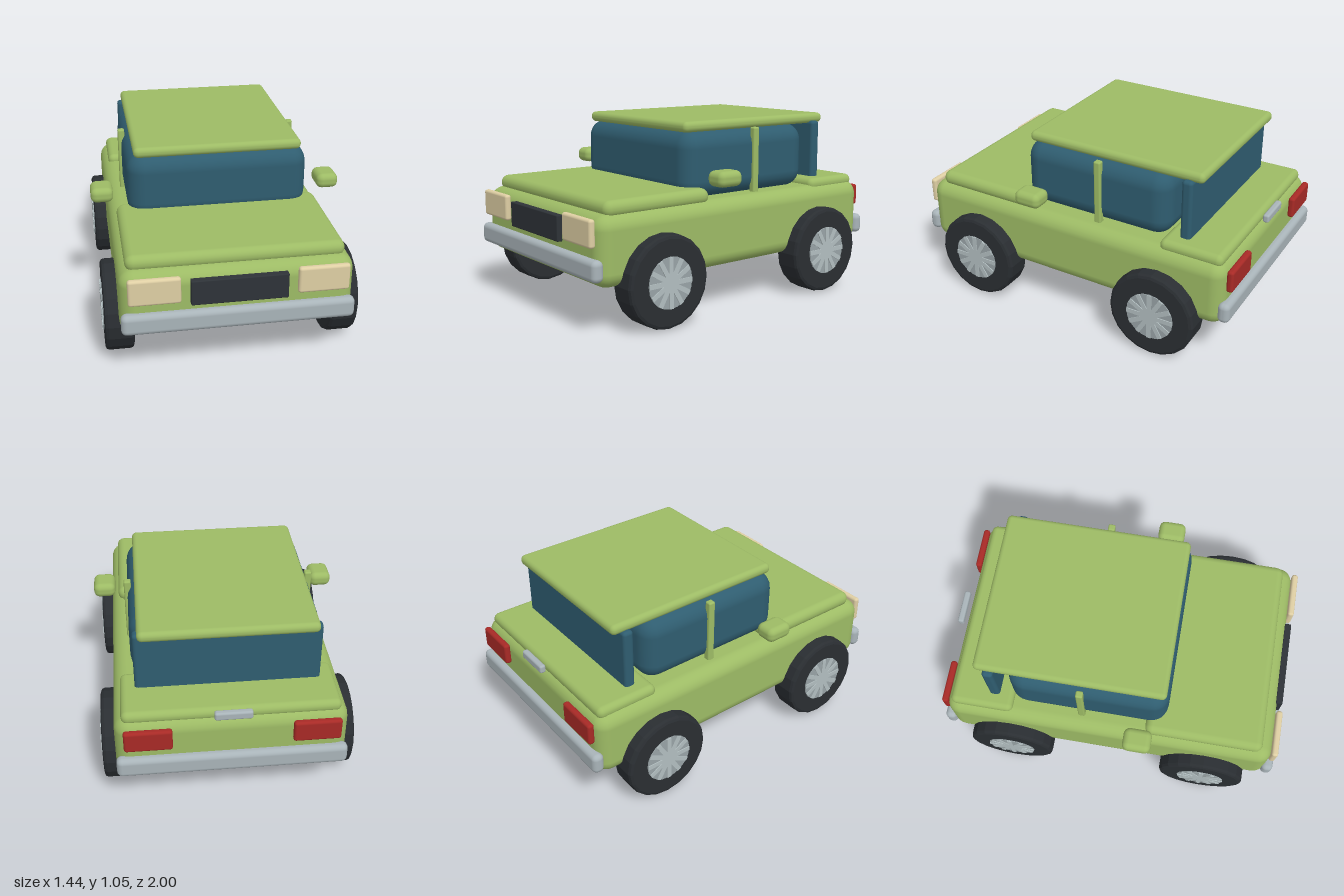
import * as THREE from 'three';
import { RoundedBoxGeometry } from 'three/addons/geometries/RoundedBoxGeometry.js';

const paint = (color, flatShading = false) => new THREE.MeshStandardMaterial({ color, flatShading });
const GREEN = paint(0x9dbb65), GLASS = paint(0x2f5d70), CHROME = paint(0xa9b4b9);
const CREAM = paint(0xdfcfa4), RED = paint(0xa82a26), DARK = paint(0x2e3338);
const RUBBER = paint(0x2a2e32, true), RIM = paint(0x98a3a6, true), SPOKE = paint(0xb2bec0, true);

// Rounded block given by its [min, max] extent on each axis
function block(name, [x0, x1], [y0, y1], [z0, z1], radius, material) {
  const geometry = new RoundedBoxGeometry(x1 - x0, y1 - y0, z1 - z0, 3, radius);
  const mesh = new THREE.Mesh(geometry, material);
  mesh.name = name;
  mesh.position.set((x0 + x1) / 2, (y0 + y1) / 2, (z0 + z1) / 2);
  return mesh;
}

// Wheel with its axle along x
function wheel(name) {
  const group = new THREE.Group();
  group.name = name;
  const half = 0.079, r = 0.253, bevel = 0.02;
  const profile = [
    [0.12, -half], [r - bevel, -half], [r - 0.006, -half + 0.006], [r, -half + bevel],
    [r, half - bevel], [r - 0.006, half - 0.006], [r - bevel, half], [0.12, half],
  ].map(([a, b]) => new THREE.Vector2(a, b));
  const tyre = new THREE.Mesh(new THREE.LatheGeometry(profile, 20), RUBBER);
  tyre.name = 'tyre';
  tyre.rotation.z = Math.PI / 2;
  const rim = new THREE.Mesh(new THREE.CylinderGeometry(0.14, 0.14, 0.168, 20), RIM);
  rim.name = 'rim';
  rim.rotation.z = Math.PI / 2;
  group.add(tyre, rim);
  // Bars across the whole rim make twelve spokes
  for (let i = 0; i < 6; i++) {
    const spoke = new THREE.Mesh(new THREE.BoxGeometry(0.178, 0.276, 0.026), SPOKE);
    spoke.name = 'spoke';
    spoke.rotation.x = (i * Math.PI) / 6;
    group.add(spoke);
  }
  return group;
}

export function createModel() {
  const car = new THREE.Group();
  car.name = 'car';

  // Bodywork
  car.add(
    block('body', [-0.62, 0.62], [0.25, 0.63], [-0.96, 0.96], 0.08, GREEN),
    block('hood', [-0.58, 0.58], [0.605, 0.695], [0.215, 0.895], 0.044, GREEN),
    block('rearDeck', [-0.58, 0.58], [0.595, 0.668], [-0.93, -0.565], 0.035, GREEN),
    block('cabinGlass', [-0.515, 0.515], [0.62, 1.0], [-0.58, 0.33], 0.1, GLASS),
    block('rearWindow', [-0.5, 0.5], [0.62, 1.005], [-0.71, -0.648], 0.02, GLASS),
    block('roof', [-0.475, 0.475], [0.99, 1.05], [-0.762, 0.312], 0.028, GREEN),
  );

  // Front and rear fittings
  car.add(
    block('frontBumper', [-0.617, 0.617], [0.295, 0.412], [0.932, 1.0], 0.03, CHROME),
    block('rearBumper', [-0.617, 0.617], [0.295, 0.412], [-1.0, -0.932], 0.03, CHROME),
    block('grille', [-0.255, 0.255], [0.447, 0.588], [0.95, 0.99], 0.006, DARK),
    block('tailgateHandle', [-0.1, 0.1], [0.645, 0.693], [-0.992, -0.956], 0.012, CHROME),
  );

  // Mirrored parts
  for (const s of [1, -1]) {
    const side = s > 0 ? 'left' : 'right';
    const span = (a, b) => (s > 0 ? [a, b] : [-b, -a]);
    car.add(
      block(side + 'Headlight', span(0.305, 0.578), [0.468, 0.616], [0.958, 0.995], 0.015, CREAM),
      block(side + 'TailLight', span(0.317, 0.572), [0.468, 0.595], [-0.995, -0.957], 0.015, RED),
      block(side + 'Mirror', span(0.593, 0.72), [0.713, 0.8], [0.105, 0.265], 0.035, GREEN),
      block(side + 'DoorPillar', span(0.493, 0.533), [0.62, 1.0], [-0.181, -0.14], 0.01, GREEN),
    );
    for (const [end, z] of [['Front', 0.585], ['Rear', -0.583]]) {
      const w = wheel(side + end + 'Wheel');
      w.position.set(s * 0.617, 0.255, z);
      car.add(w);
    }
  }
  return car;
}
